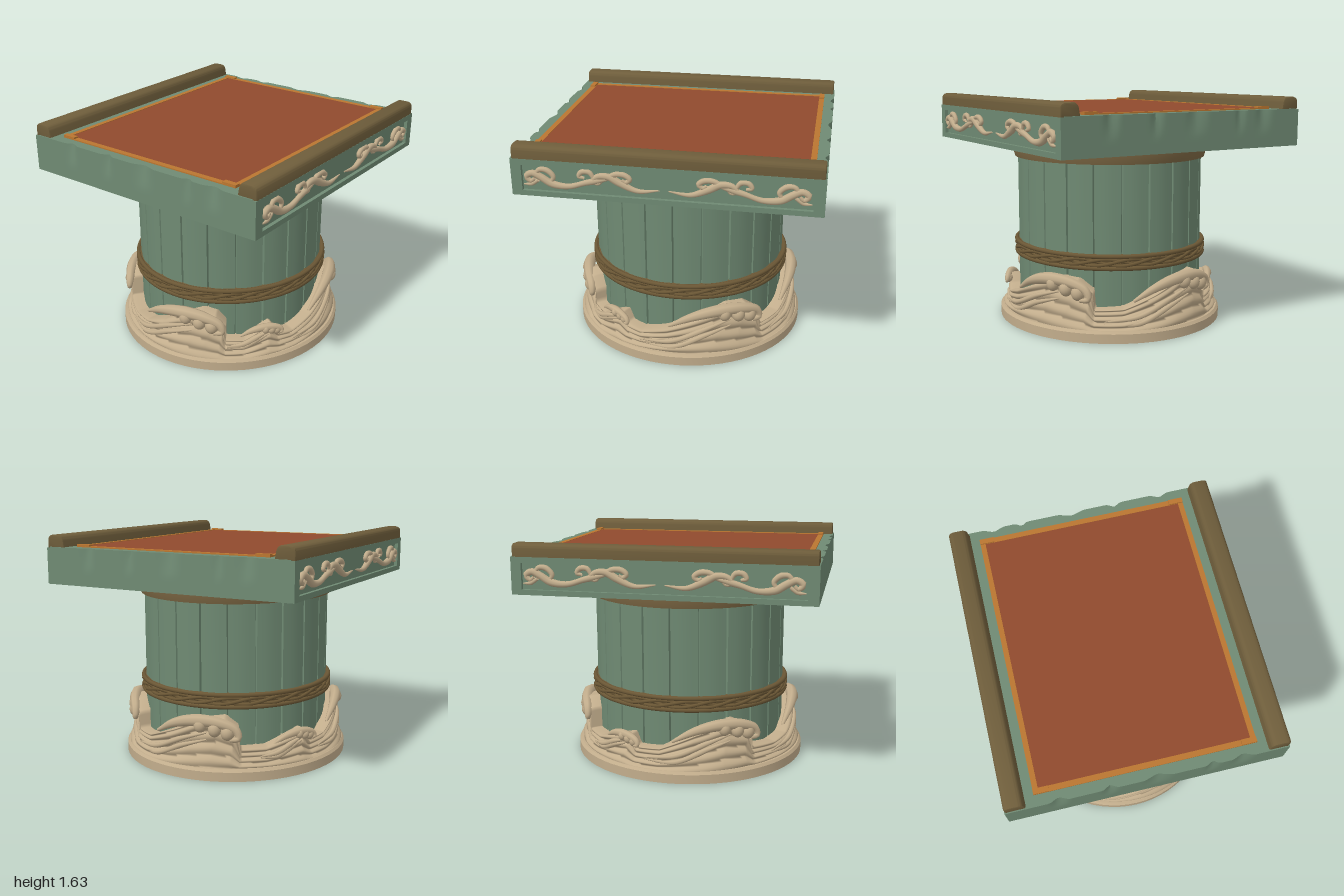
import * as THREE from 'three';
import { toCreasedNormals } from 'three/addons/utils/BufferGeometryUtils.js';
import { ParametricGeometry } from 'three/addons/geometries/ParametricGeometry.js';

const mat = (name, color, side = THREE.FrontSide) => {
  const m = new THREE.MeshStandardMaterial({ color, side });
  m.name = name;
  return m;
};
const RAD = Math.PI / 180;
const DEPTH = 1.04; // the round parts are slightly deeper than wide

export function createModel() {
  const green = mat('green wood', 0x6f8a73);
  const brown = mat('brown wood', 0x6e5d3b);
  const collarBrown = mat('light brown wood', 0x7c6743);
  const ropeBrown = mat('rope', 0x6b5735);
  const stone = mat('carved stone', 0xc2ad8c, THREE.DoubleSide);
  const red = mat('red cloth', 0x904a2d);
  const orange = mat('orange border', 0xba7630);

  const model = new THREE.Group();
  const add = (name, geo, material, parent = model) => {
    const mesh = new THREE.Mesh(geo, material);
    mesh.name = name;
    parent.add(mesh);
    return mesh;
  };
  const group = (name) => {
    const g = new THREE.Group();
    g.name = name;
    model.add(g);
    return g;
  };
  const box = (name, w, h, d, x, y, z, material, parent) =>
    add(name, new THREE.BoxGeometry(w, h, d).translate(x, y, z), material, parent);

  // Tube whose radius follows a short list of radii along its length
  const taperedTube = (points, radii, segments = 40, sides = 8) => {
    const curve = new THREE.CatmullRomCurve3(points);
    const geo = new THREE.TubeGeometry(curve, segments, 1, sides);
    const pos = geo.attributes.position;
    const p = new THREE.Vector3(), c = new THREE.Vector3();
    for (let i = 0; i <= segments; i++) {
      curve.getPointAt(i / segments, c);
      const t = (i / segments) * (radii.length - 1);
      const k = Math.min(Math.floor(t), radii.length - 2);
      const r = THREE.MathUtils.lerp(radii[k], radii[k + 1], t - k);
      for (let j = 0; j <= sides; j++) {
        const n = i * (sides + 1) + j;
        p.fromBufferAttribute(pos, n).sub(c).multiplyScalar(r).add(c);
        pos.setXYZ(n, p.x, p.y, p.z);
      }
    }
    return geo;
  };
  const polar = (deg, r, y) =>
    new THREE.Vector3(r * Math.sin(deg * RAD), y, r * Math.cos(deg * RAD) * DEPTH);
  const lathe = (pts) => toCreasedNormals(
    new THREE.LatheGeometry(pts.map(([x, y]) => new THREE.Vector2(x, y)), 72), 0.6).scale(1, 1, DEPTH);

  // Base disc and upper collar
  add('baseDisc', lathe([[0, 0], [0.815, 0], [0.815, 0.065], [0.8, 0.083], [0, 0.083]]), stone);
  add('collar', lathe([[0.66, 1.19], [0.692, 1.19], [0.7, 1.22], [0.706, 1.27], [0.706, 1.292]]), collarBrown);

  // Drum of upright planks with grooves between
  const PLANKS = 22, outline = [];
  for (let i = 0; i < PLANKS; i++) {
    [[0, 0.648], [0.035, 0.666], [0.3, 0.669], [0.5, 0.67], [0.7, 0.669], [0.965, 0.666]].forEach(([f, r]) => {
      const a = ((i + f - 0.5) / PLANKS) * Math.PI * 2 + Math.PI / 2;
      outline.push(new THREE.Vector2(r * Math.cos(a), r * Math.sin(a)));
    });
  }
  const drum = new THREE.ExtrudeGeometry(new THREE.Shape(outline), { depth: 1.23, bevelEnabled: false });
  add('plankDrum', toCreasedNormals(drum.rotateX(-Math.PI / 2).translate(0, 0.06, 0).scale(1, 1, DEPTH), 0.3), green);

  // Rope band: two hoops with wavy strands between
  const rope = group('ropeBand');
  add('ropeBacking', lathe([[0.66, 0.47], [0.683, 0.475], [0.683, 0.575], [0.66, 0.58]]), ropeBrown, rope);
  for (const y of [0.484, 0.567]) {
    add('ropeHoop', new THREE.TorusGeometry(0.688, 0.016, 8, 80).rotateX(Math.PI / 2)
      .translate(0, y, 0).scale(1, 1, DEPTH), ropeBrown, rope);
  }
  for (let s = 0; s < 3; s++) {
    const pts = [];
    for (let i = 0; i < 96; i++) {
      const a = i * 3.75, wave = a * RAD * 8 + (s * Math.PI * 2) / 3;
      pts.push(polar(a, 0.688 + 0.006 * Math.cos(wave), 0.525 + 0.022 * Math.sin(wave)));
    }
    const curve = new THREE.CatmullRomCurve3(pts, true);
    add('ropeStrand', new THREE.TubeGeometry(curve, 200, 0.012, 6, true), ropeBrown, rope);
  }

  // Ring of carved waves: [angle, height] around the drum, each rising then breaking
  const heights = [[-95, 0.22], [-80, 0.33], [-62, 0.42], [-50, 0.36], [-45, 0.21], [-28, 0.19], [-15, 0.21],
    [-4, 0.28], [5, 0.37], [15, 0.43], [24, 0.41], [31, 0.34], [35, 0.21], [45, 0.2], [53, 0.27], [58, 0.3],
    [64, 0.22], [73, 0.2], [86, 0.25], [100, 0.34], [113, 0.42], [125, 0.41], [135, 0.34], [140, 0.21],
    [155, 0.22], [170, 0.31], [184, 0.41], [196, 0.43], [206, 0.36], [211, 0.21], [225, 0.21], [238, 0.27],
    [246, 0.3], [252, 0.21], [265, 0.22]];
  const heightAt = (deg) => {
    const k = Math.max(0, heights.findIndex(([a], i) => i < heights.length - 1 && deg <= heights[i + 1][0]));
    const [a0, h0] = heights[k], [a1, h1] = heights[k + 1];
    return THREE.MathUtils.lerp(h0, h1, THREE.MathUtils.clamp((deg - a0) / (a1 - a0), 0, 1));
  };
  const waves = group('waves');
  add('waveRing', new ParametricGeometry((u, v, out) => {
    const deg = -95 + u * 360, h = heightAt(deg);
    const w = Math.min(v / 0.84, 1), cap = Math.max(0, (v - 0.84) / 0.16);
    const ridge = Math.abs(Math.sin(Math.PI * 4 * w + 0.9 * Math.sin(3 * deg * RAD)));
    let r = 0.785 - 0.05 * Math.sin(w * Math.PI * 0.6) + 0.018 * ridge * (1 - cap);
    r = THREE.MathUtils.lerp(r, 0.655, cap * cap);
    const y = 0.07 + (h - 0.07) * (w * 0.95 + 0.05 * Math.sin(cap * Math.PI / 2));
    const lean = 7 * w * w * THREE.MathUtils.clamp((h - 0.2) / 0.22, 0, 1);
    out.copy(polar(deg + lean, r, y));
  }, 260, 30), stone, waves);

  // Breaking crests: curling lip, foam lobes and strands sweeping up behind
  const crests = [[-58, 0.42, 1], [17, 0.43, 1.1], [58, 0.3, 0.5], [121, 0.43, 1.1], [194, 0.43, 1.1], [246, 0.3, 0.55]];
  for (const [c, h, s] of crests) {
    const at = ([da, r, dy]) => polar(c + da * s, r, h + dy * s);
    add('crestLip', taperedTube([[-30, 0.73, -0.15], [-18, 0.735, -0.07], [-6, 0.745, -0.03], [6, 0.755, -0.035],
      [14, 0.765, -0.08], [15, 0.77, -0.13], [11, 0.77, -0.14]].map(at),
    [0.01, 0.025, 0.036, 0.042, 0.038, 0.03, 0.012].map((r) => r * (0.35 + 0.65 * s))), stone, waves);
    for (const [da, dy, r] of [[-3, -0.055, 0.042], [4, -0.075, 0.044], [10, -0.095, 0.045]]) {
      const p = at([da, 0.755, dy]);
      add('foamLobe', new THREE.SphereGeometry(r * (0.3 + 0.7 * s), 16, 12).scale(1, 1.15, 1)
        .translate(p.x, p.y, p.z), stone, waves);
    }
    for (let k = 0; k < 2; k++) {
      const d = k * 0.045;
      add('waveStrand', taperedTube([[-44, 0.765, -0.27 - d * 0.3], [-28, 0.765, -0.24 - d], [-12, 0.76, -0.15 - d],
        [0, 0.755, -0.1 - d]].map(at), [0.004, 0.018, 0.02, 0.006]), stone, waves);
    }
  }

  // Table slab with worn front and back top edges
  const slab = new THREE.BoxGeometry(1.81, 0.255, 2, 80, 8, 1);
  const sp = slab.attributes.position;
  const chips = [[-0.58, 0.06], [-0.25, 0.05], [0.06, 0.09], [0.42, 0.04], [0.62, 0.07]];
  for (let i = 0; i < sp.count; i++) {
    const x = sp.getX(i), lift = Math.max(0, sp.getY(i) + 0.02) / 0.147, side = Math.sign(sp.getZ(i));
    let dent = 0;
    for (const [cx, w] of chips) dent += 0.028 * Math.max(0, 1 - Math.abs(x * side - cx) / w);
    sp.setZ(i, sp.getZ(i) - side * dent * lift);
  }
  slab.translate(0, 1.4175, 0);
  add('slab', toCreasedNormals(slab, 0.7), green);

  // Side frames around the recessed panels
  const rect = (T, x0, x1, y0, y1) => {
    const s = new T();
    s.moveTo(x0, y0).lineTo(x1, y0).lineTo(x1, y1).lineTo(x0, y1).lineTo(x0, y0);
    return s;
  };
  const frameShape = rect(THREE.Shape, -1, 1, 1.29, 1.54);
  frameShape.holes.push(rect(THREE.Path, -0.93, 0.93, 1.325, 1.5));
  const carving = [ // [z, y] lines and their radii
    [[[0.03, 1.385], [0.17, 1.372], [0.28, 1.415], [0.36, 1.455], [0.43, 1.45], [0.46, 1.42], [0.425, 1.402], [0.4, 1.425]],
      [0.004, 0.012, 0.018, 0.024, 0.026, 0.022, 0.016, 0.01]],
    [[[0.38, 1.44], [0.31, 1.475], [0.25, 1.472], [0.22, 1.447], [0.245, 1.425], [0.27, 1.44]], [0.012, 0.018, 0.02, 0.018, 0.01]],
    [[[0.36, 1.44], [0.5, 1.405], [0.62, 1.37], [0.73, 1.38], [0.8, 1.42], [0.86, 1.445], [0.9, 1.42], [0.87, 1.39], [0.845, 1.41]],
      [0.012, 0.022, 0.018, 0.02, 0.026, 0.025, 0.022, 0.012]],
    [[[0.45, 1.43], [0.48, 1.475], [0.53, 1.475], [0.55, 1.445], [0.515, 1.435]], [0.012, 0.018, 0.018, 0.01]],
    [[[0.74, 1.385], [0.72, 1.43], [0.76, 1.47], [0.81, 1.472], [0.83, 1.445], [0.8, 1.437]], [0.01, 0.018, 0.02, 0.016, 0.01]],
    [[[0.82, 1.4], [0.87, 1.37], [0.92, 1.365]], [0.012, 0.015, 0.004]],
  ];
  for (const sx of [-1, 1]) {
    const frame = new THREE.ExtrudeGeometry(frameShape, { depth: 0.03, bevelEnabled: false });
    add('sideFrame', frame.rotateY(sx * Math.PI / 2).translate(sx * 0.9, 0, 0), green);
    const scrolls = group('sideScrolls');
    for (const sz of [-1, 1]) for (const [pts, radii] of carving) {
      const line = pts.map(([z, y]) => new THREE.Vector3(0, y, z * sz));
      add('scroll', taperedTube(line, radii).scale(0.9, 1, 1).translate(sx * 0.92, 0, 0), stone, scrolls);
    }
    // Rounded rail along each side
    const profile = new THREE.Shape();
    profile.moveTo(0.8, 1.53).lineTo(0.917, 1.53).lineTo(0.917, 1.595).quadraticCurveTo(0.915, 1.613, 0.89, 1.615)
      .lineTo(0.835, 1.615).quadraticCurveTo(0.815, 1.612, 0.81, 1.585).lineTo(0.8, 1.53);
    const rail = new THREE.ExtrudeGeometry(profile, { depth: 1.96, bevelThickness: 0.012, bevelSize: 0.012, bevelSegments: 2 });
    rail.translate(0, 0, -0.98);
    if (sx < 0) rail.rotateY(Math.PI);
    add('sideRail', toCreasedNormals(rail, 0.7), brown);
  }

  // Cloth with orange border and raised corner pieces
  const cloth = group('cloth');
  box('clothPanel', 1.4, 0.009, 1.78, 0, 1.547, 0, red, cloth);
  for (const s of [-1, 1]) {
    box('borderLong', 0.035, 0.02, 1.85, s * 0.712, 1.545, 0, orange, cloth);
    box('borderShort', 1.46, 0.02, 0.038, 0, 1.543, s * 0.906, orange, cloth);
    for (const z of [-1, 1]) box('borderCorner', 0.1, 0.03, 0.036, s * 0.68, 1.549, z * 0.906, orange, cloth);
  }
  return model;
}
